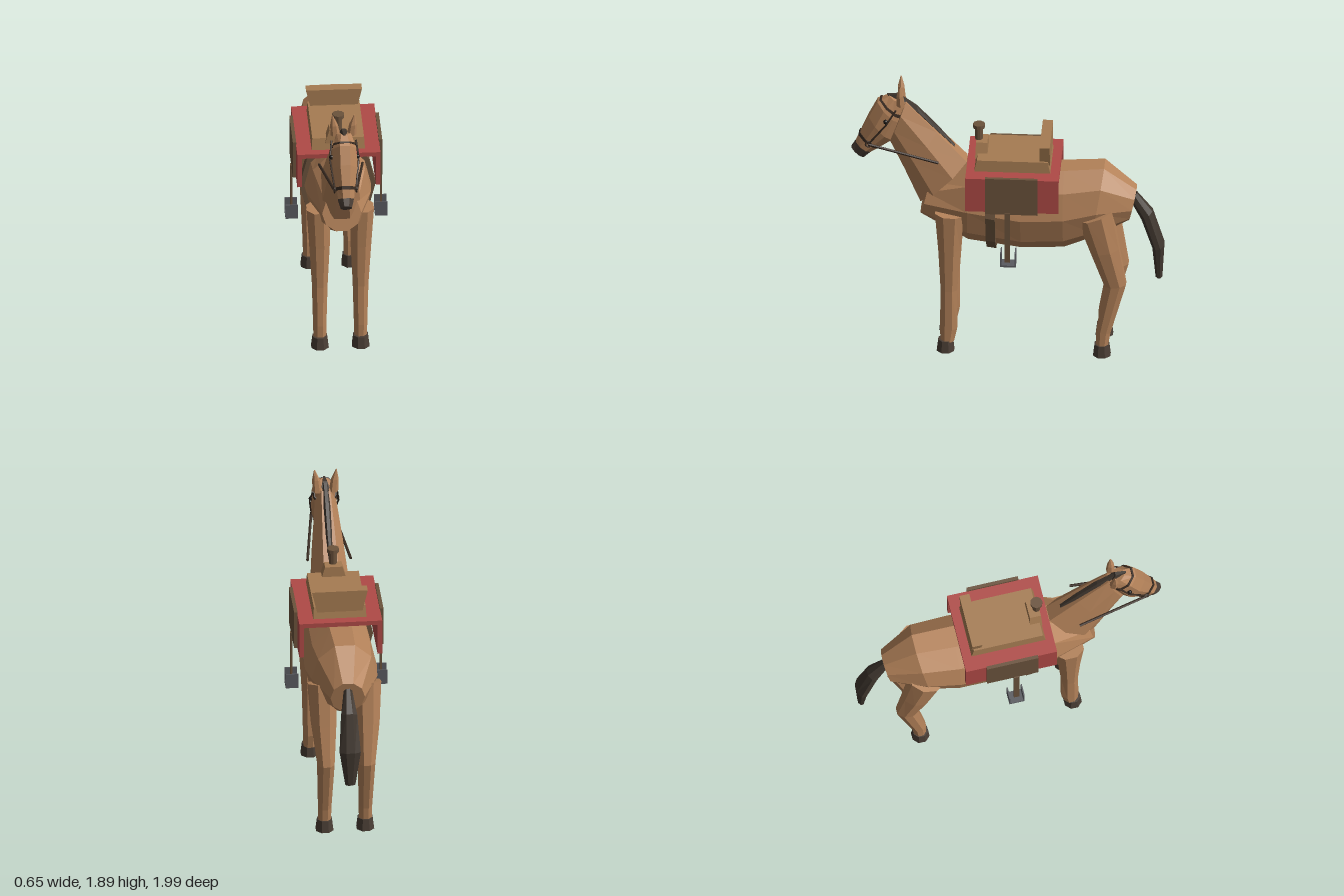
import * as THREE from 'three';

const mat = (name, color, double) => {
  const m = new THREE.MeshStandardMaterial({ color, flatShading: true });
  m.name = name;
  if (double) m.side = THREE.DoubleSide;
  return m;
};

// Ring: [z1, y1, z2, y2, halfWidth, xCentre]; the two points are opposite flats of an n-gon.
function ringPoints([z1, y1, z2, y2, rx, xc = 0], n) {
  const k = 1 / Math.cos(Math.PI / n), pts = [];
  for (let i = 0; i < n; i++) {
    const t = ((i + 0.5) / n) * Math.PI * 2;
    const c = Math.cos(t) * k * 0.5, s = Math.sin(t) * rx;
    pts.push(new THREE.Vector3(xc + s, (y1 + y2) / 2 + c * (y1 - y2), (z1 + z2) / 2 + c * (z1 - z2)));
  }
  return pts;
}

// Closed, faceted skin over a row of rings
function loft(rings, n = 8) {
  const rows = rings.map((r) => ringPoints(r, n)), tris = [];
  for (let j = 0; j < rows.length - 1; j++)
    for (let i = 0; i < n; i++) {
      const a = rows[j][i], b = rows[j][(i + 1) % n], c = rows[j + 1][(i + 1) % n], d = rows[j + 1][i];
      tris.push([a, b, c], [a, c, d]);
    }
  const first = rows[0], last = rows[rows.length - 1];
  for (let i = 1; i < n - 1; i++) {
    tris.push([first[0], first[i + 1], first[i]]);
    tris.push([last[0], last[i], last[i + 1]]);
  }
  // Turn the skin outward if the rings ran the other way
  const o = first[0], v = new THREE.Vector3(), w = new THREE.Vector3(), u = new THREE.Vector3();
  let volume = 0;
  for (const [a, b, c] of tris) volume += u.subVectors(a, o).dot(v.subVectors(b, o).cross(w.subVectors(c, o)));
  const pts = tris.flatMap(([a, b, c]) => (volume < 0 ? [a, c, b] : [a, b, c]));
  const g = new THREE.BufferGeometry().setFromPoints(pts);
  g.computeVertexNormals();
  return g;
}

// Ring between two rings, enlarged by a margin
function between(a, b, t, grow) {
  const [z1, y1, z2, y2, rx] = a.map((v, i) => v + (b[i] - v) * t);
  const l = Math.hypot(z1 - z2, y1 - y2), dz = ((z1 - z2) / l) * grow, dy = ((y1 - y2) / l) * grow;
  return [z1 + dz, y1 + dy, z2 - dz, y2 - dy, rx + grow];
}

// Box whose top may be narrower or wider than its bottom
function taperedBox(w, h, d, topX, topZ) {
  const g = new THREE.BoxGeometry(w, h, d), p = g.attributes.position;
  for (let i = 0; i < p.count; i++)
    if (p.getY(i) > 0) p.setXYZ(i, p.getX(i) * topX, p.getY(i), p.getZ(i) * topZ);
  g.computeVertexNormals();
  return g;
}

export function createModel() {
  const model = new THREE.Group();
  model.name = 'saddledHorse';
  const coat = mat('coat brown', 0xb5835a), hair = mat('dark hair', 0x40372f);
  const hoofMat = mat('hoof', 0x4a3e35), leather = mat('saddle tan', 0xa67c52);
  const dark = mat('dark leather', 0x6b533c), red = mat('blanket red', 0xb04a46);
  const iron = mat('stirrup grey', 0x5a5b60, true), tack = mat('bridle', 0x3a2c22), black = mat('eye', 0x1c1815);

  const add = (name, geo, material, x = 0, y = 0, z = 0) => {
    const m = new THREE.Mesh(geo, material);
    m.name = name;
    m.position.set(x, y, z);
    model.add(m);
    return m;
  };
  const box = (name, material, x, y, z, w, h, d) => add(name, new THREE.BoxGeometry(w, h, d), material, x, y, z);
  const rod = (name, a, b, r, material) => {
    const p = new THREE.Vector3(...a), q = new THREE.Vector3(...b), dir = q.clone().sub(p);
    const m = add(name, new THREE.CylinderGeometry(r, r, dir.length(), 6), material);
    m.position.copy(p).add(q).multiplyScalar(0.5);
    m.quaternion.setFromUnitVectors(new THREE.Vector3(0, 1, 0), dir.normalize());
  };

  // Torso
  const torso = [
    [0.5, 1.18, 0.556, 0.95, 0.125],
    [0.25, 1.33, 0.25, 0.78, 0.205],
    [-0.09, 1.29, -0.09, 0.735, 0.225],
    [-0.36, 1.31, -0.36, 0.75, 0.23],
    [-0.615, 1.33, -0.53, 0.82, 0.21],
    [-0.82, 1.165, -0.77, 0.94, 0.11],
  ];
  add('torso', loft(torso, 10), coat);

  // Neck
  add('neck', loft([
    [0.26, 1.34, 0.555, 1.04, 0.13],
    [0.45, 1.545, 0.655, 1.27, 0.105],
    [0.65, 1.755, 0.75, 1.47, 0.075],
  ]), coat);

  // Head and muzzle
  const head = [
    [0.755, 1.79, 0.65, 1.745, 0.05],
    [0.83, 1.75, 0.685, 1.6, 0.082],
    [0.885, 1.64, 0.74, 1.475, 0.085],
    [0.945, 1.5, 0.825, 1.41, 0.062],
    [0.968, 1.445, 0.875, 1.375, 0.055],
  ];
  add('head', loft(head), coat);
  add('muzzle', loft([head[4], [0.997, 1.4, 0.92, 1.33, 0.038]]), hoofMat);

  // Bridle bands around the head
  add('noseBand', loft([between(head[2], head[3], 0.88, 0.006), between(head[3], head[4], 0.05, 0.006)]), tack);
  add('browBand', loft([between(head[0], head[1], 0.62, 0.006), between(head[0], head[1], 0.76, 0.006)]), tack);

  // Mane and forelock
  add('mane', loft([
    [0.69, 1.795, 0.65, 1.72, 0.02],
    [0.58, 1.715, 0.55, 1.63, 0.022],
    [0.45, 1.575, 0.43, 1.5, 0.02],
    [0.34, 1.44, 0.34, 1.42, 0.012],
  ], 6), hair);
  add('forelock', loft([[0.7, 1.8, 0.66, 1.73, 0.025], [0.77, 1.797, 0.74, 1.76, 0.012]], 6), hair);

  // Tail
  add('tail', loft([
    [-0.82, 1.13, -0.785, 1.06, 0.03],
    [-0.92, 1.0, -0.85, 0.94, 0.055],
    [-0.995, 0.755, -0.92, 0.735, 0.072],
    [-0.982, 0.515, -0.94, 0.515, 0.035],
  ]), hair);

  for (const s of [1, -1]) {
    const side = s > 0 ? 'left' : 'right';

    // Legs and hooves
    add(side + 'FrontLeg', loft([
      [0.455, 1.02, 0.27, 1.01, 0.08, s * 0.14],
      [0.435, 0.75, 0.295, 0.75, 0.07, s * 0.132],
      [0.42, 0.45, 0.315, 0.45, 0.053, s * 0.13],
      [0.425, 0.165, 0.315, 0.165, 0.045, s * 0.13],
      [0.42, 0.07, 0.335, 0.07, 0.043, s * 0.13],
    ]), coat);
    add(side + 'HindLeg', loft([
      [-0.455, 1.0, -0.67, 1.08, 0.1, s * 0.14],
      [-0.535, 0.77, -0.715, 0.8, 0.085, s * 0.138],
      [-0.625, 0.51, -0.76, 0.53, 0.058, s * 0.13],
      [-0.57, 0.185, -0.66, 0.165, 0.045, s * 0.13],
      [-0.57, 0.07, -0.645, 0.07, 0.043, s * 0.13],
    ]), coat);
    for (const [name, z] of [['FrontHoof', 0.39], ['HindHoof', -0.605]]) {
      const hoof = add(side + name, new THREE.CylinderGeometry(0.05, 0.06, 0.08, 8), hoofMat, s * 0.13, 0.04, z);
      hoof.rotation.y = Math.PI / 8;
    }

    // Ear and eye
    const ear = add(side + 'Ear', loft([
      [0.705, 1.745, 0.655, 1.735, 0.03, s * 0.052],
      [0.705, 1.82, 0.665, 1.82, 0.025, s * 0.06],
      [0.688, 1.89, 0.682, 1.89, 0.003, s * 0.07],
    ], 6), coat);
    ear.position.y = 0.002;
    add(side + 'Eye', new THREE.SphereGeometry(0.015, 8, 6), black, s * 0.083, 1.637, 0.775);

    // Cheek strap, bit ring and rein
    rod(side + 'CheekStrap', [s * 0.078, 1.72, 0.71], [s * 0.092, 1.62, 0.77], 0.006, tack);
    rod(side + 'CheekStrapLower', [s * 0.092, 1.62, 0.77], [s * 0.068, 1.46, 0.885], 0.006, tack);
    const bit = add(side + 'BitRing', new THREE.TorusGeometry(0.018, 0.006, 6, 10), tack, s * 0.07, 1.46, 0.885);
    bit.rotation.y = Math.PI / 2;
    rod(side + 'Rein', [s * 0.072, 1.46, 0.885], [s * 0.138, 1.378, 0.435], 0.009, tack);

    // Blanket side, saddle flap and stirrup
    box(side + 'BlanketSide', red, s * 0.25, 1.225, -0.04, 0.03, 0.24, 0.594);
    box(side + 'SaddleFlap', dark, s * 0.274, 1.23, -0.037, 0.022, 0.26, 0.335);
    box(side + 'StirrupLeather', dark, s * 0.286, 0.93, -0.013, 0.012, 0.36, 0.036);
    for (const z of [0.027, -0.065])
      box(side + 'StirrupArm', iron, s * 0.285, 0.785, z, 0.08, 0.1, 0.008);
    box(side + 'StirrupTread', iron, s * 0.285, 0.741, -0.019, 0.08, 0.012, 0.096);
  }

  // Girth around the belly
  add('girth', loft([0.35, 0.53].map((t) => between(torso[1], torso[2], t, 0.03)), 10), dark);

  // Blanket top and saddle
  box('blanketTop', red, 0, 1.33, -0.04, 0.53, 0.03, 0.594);
  add('saddleSeat', taperedBox(0.34, 0.08, 0.485, 0.97, 0.93), leather, 0, 1.382, -0.037);
  add('cantle', taperedBox(0.29, 0.145, 0.065, 1.23, 1), leather, 0, 1.463, -0.243);
  add('pommel', taperedBox(0.17, 0.1, 0.08, 0.65, 0.9), leather, 0, 1.44, 0.165);
  add('horn', new THREE.CylinderGeometry(0.025, 0.025, 0.09, 10), dark, 0, 1.532, 0.185);
  add('hornCap', new THREE.CylinderGeometry(0.039, 0.039, 0.025, 10), dark, 0, 1.585, 0.185);

  return model;
}
